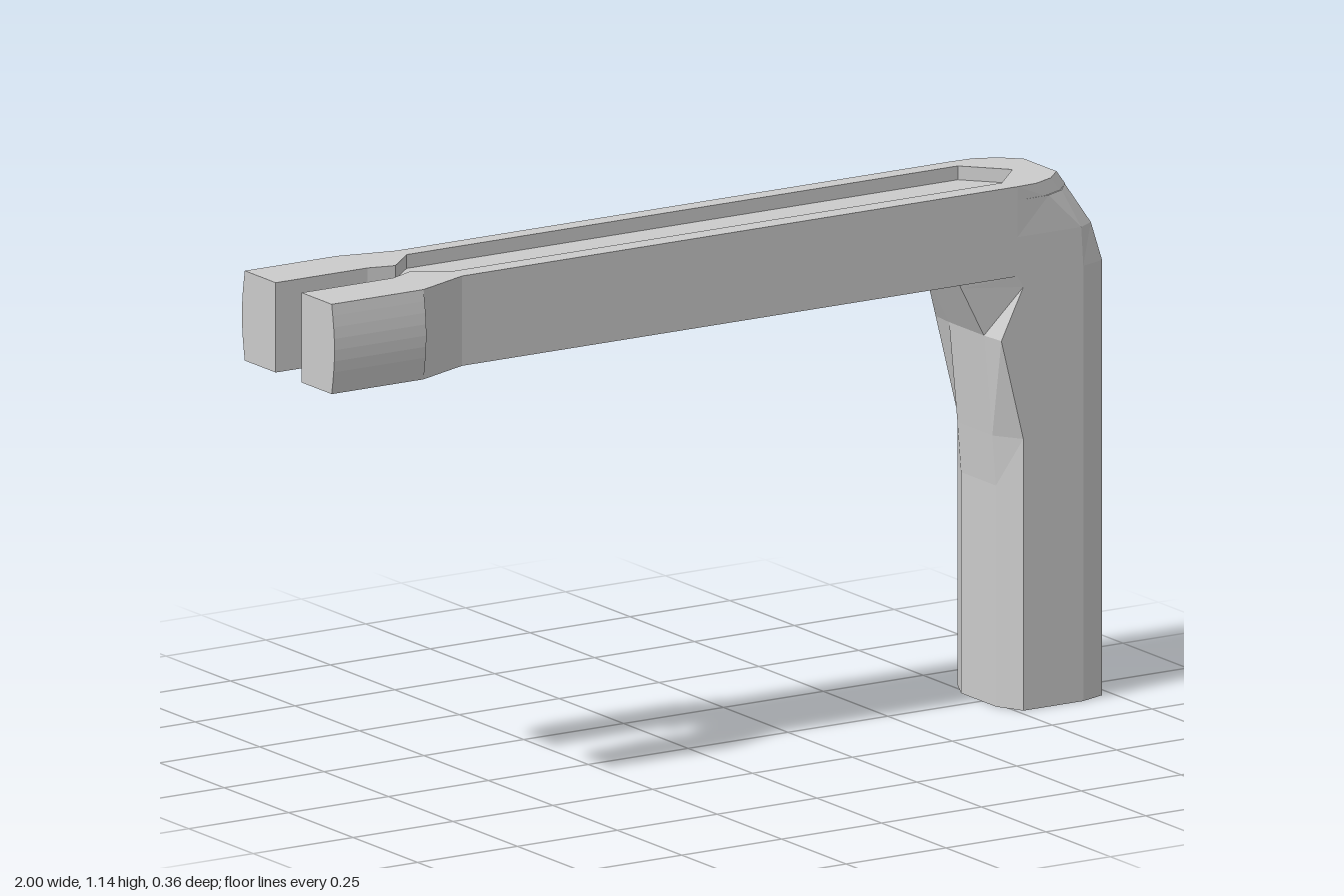
import * as THREE from 'three';

const BOTTOM = 0.945, FLOOR = 1.11, TOP = 1.14;
const material = new THREE.MeshStandardMaterial({ color: 0xcccccc, flatShading: true });

function addMesh(group, name, geometry) {
  const mesh = new THREE.Mesh(geometry, material);
  mesh.name = name;
  group.add(mesh);
}

// Extrude a plan outline of [x, z] points upward from y0 to y1
function plan(points, y0, y1) {
  const shape = new THREE.Shape(points.map(([x, z]) => new THREE.Vector2(x, -z)));
  const g = new THREE.ExtrudeGeometry(shape, { depth: y1 - y0, bevelEnabled: false });
  return g.rotateX(-Math.PI / 2).translate(0, y0, 0);
}

// Skin horizontal rings of [x, y, z] points, bottom to top, with end caps
function loft(rings) {
  const out = [];
  const tri = (a, b, c) => out.push(...a, ...b, ...c);
  const n = rings[0].length, last = rings[rings.length - 1];
  for (let i = 0; i < rings.length - 1; i++) {
    for (let j = 0; j < n; j++) {
      const k = (j + 1) % n, lo = rings[i], hi = rings[i + 1];
      tri(lo[j], lo[k], hi[k]);
      tri(lo[j], hi[k], hi[j]);
    }
  }
  for (let j = 1; j < n - 1; j++) {
    tri(rings[0][0], rings[0][j + 1], rings[0][j]);
    tri(last[0], last[j], last[j + 1]);
  }
  const g = new THREE.BufferGeometry();
  g.setAttribute('position', new THREE.Float32BufferAttribute(out, 3));
  g.computeVertexNormals();
  return g;
}

// Outer edge of the handle, front to back, at three levels of the elbow
const shaft = [[0.915, 0.115], [0.975, 0.095], [1, 0.02], [1, -0.06], [0.975, -0.115], [0.915, -0.14]];
const knee = [[0.91, 0.115], [0.95, 0.09], [0.97, 0.04], [0.97, -0.065], [0.95, -0.115], [0.91, -0.14]];
const crown = [[0.8, 0.112], [0.85, 0.09], [0.89, 0.05], [0.89, -0.075], [0.85, -0.115], [0.8, -0.137]];

function ring(y, side, inner, outer) {
  return [[side, 0.115], ...outer, [side, -0.14], [inner, -0.08], [inner, 0.055]].map(([x, z]) => [x, y, z]);
}

export function createModel() {
  const group = new THREE.Group();

  // Upright handle with the inner gusset and chamfered elbow
  const t = (FLOOR - 1.03) / (TOP - 1.03);
  const shoulder = knee.map(([x, z], i) => [x + (crown[i][0] - x) * t, z + (crown[i][1] - z) * t]);
  addMesh(group, 'handle', loft([
    ring(0, 0.765, 0.735, shaft),
    ring(0.48, 0.765, 0.735, shaft),
    ring(0.59, 0.765, 0.726, shaft),
    ring(0.81, 0.71, 0.705, shaft),
    ring(0.92, 0.765, 0.648, shaft),
    ring(BOTTOM, 0.75, 0.635, shaft),
    ring(1.03, 0.75, 0.74, knee),
    ring(FLOOR, 0.75, 0.74, shoulder),
  ]));

  // Arm body up to the groove floor, flaring out at the fork
  addMesh(group, 'arm', plan([
    [0.75, 0.115], [0.75, -0.14], [-0.64, -0.14], [-0.77, -0.17], [-0.77, -0.05],
    [-0.64, -0.0125], [-0.77, 0.05], [-0.77, 0.167], [-0.64, 0.115],
  ], BOTTOM, FLOOR));

  // Raised rim around the groove, open to the fork slot
  const rim = plan([
    [-0.77, 0.167], [-0.64, 0.115], [0.75, 0.115], ...crown, [0.75, -0.14], [-0.64, -0.14], [-0.77, -0.17],
    [-0.77, -0.05], [-0.71, -0.035], [-0.64, -0.1], [0.74, -0.1], [0.82, -0.0125],
    [0.74, 0.07], [-0.64, 0.07], [-0.71, 0.022], [-0.77, 0.05],
  ], FLOOR, TOP);
  // Continue the elbow slope through the rim
  const p = rim.attributes.position;
  for (let i = 0; i < p.count; i++) {
    const outerEnd = p.getX(i) > 0.78 && Math.abs(p.getZ(i) + 0.0125) > 0.03;
    if (outerEnd && p.getY(i) < FLOOR + 0.01) p.setX(i, p.getX(i) + 0.022);
  }
  rim.computeVertexNormals();
  addMesh(group, 'grooveRim', rim);

  // Two fork prongs with bowed outer faces
  for (const [name, sign, edge] of [['frontProng', 1, 0.167], ['backProng', -1, 0.17]]) {
    const pts = [new THREE.Vector2(sign * 0.05, TOP), new THREE.Vector2(sign * 0.05, BOTTOM)];
    for (let i = 0; i <= 8; i++) {
      const z = edge + 0.011 * Math.sin((Math.PI * i) / 8);
      pts.push(new THREE.Vector2(sign * z, BOTTOM + ((TOP - BOTTOM) * i) / 8));
    }
    const g = new THREE.ExtrudeGeometry(new THREE.Shape(pts), { depth: 0.23, bevelEnabled: false });
    addMesh(group, name, g.rotateY(-Math.PI / 2).translate(-0.77, 0, 0));
  }
  return group;
}
